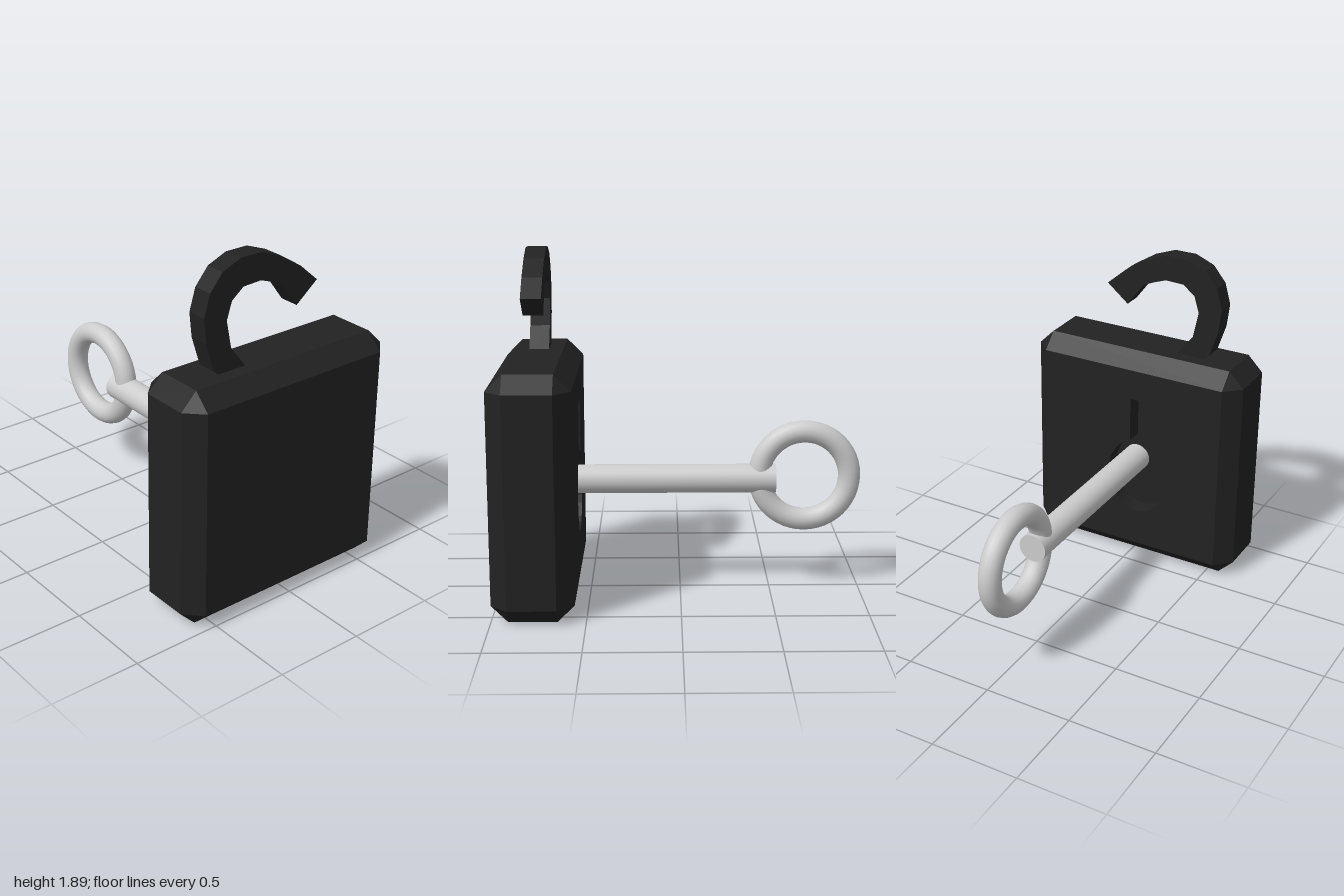
import * as THREE from 'three';
import { ConvexGeometry } from 'three/addons/geometries/ConvexGeometry.js';

const black = new THREE.MeshStandardMaterial({ color: 0x222222 });
black.name = 'blackBody';
const steel = new THREE.MeshStandardMaterial({ color: 0xcccccc });
steel.name = 'paleSteel';

const FACE = 0.56, DEPTH = 0.1, MID_Y = 0.66;

function add(parent, name, geometry, material, x = 0, y = 0, z = 0) {
  const mesh = new THREE.Mesh(geometry, material);
  mesh.name = name;
  mesh.position.set(x, y, z);
  parent.add(mesh);
  return mesh;
}

// Shapes are drawn as (z, y); this turns them to face -x
const sideways = (geometry) => geometry.rotateY(-Math.PI / 2);
const toPoints = (list) => list.map(([z, y]) => new THREE.Vector2(z, y));

// Box with every edge chamfered, left open on its -x face
function chamferedShell(hx, hy, hz, c) {
  const points = [];
  for (const sx of [-1, 1]) for (const sy of [-1, 1]) for (const sz of [-1, 1]) {
    points.push(
      new THREE.Vector3(sx * hx, sy * (hy - c), sz * (hz - c)),
      new THREE.Vector3(sx * (hx - c), sy * hy, sz * (hz - c)),
      new THREE.Vector3(sx * (hx - c), sy * (hy - c), sz * hz));
  }
  const pos = new ConvexGeometry(points).getAttribute('position');
  const kept = [];
  for (let i = 0; i < pos.count; i += 3) {
    const onFace = [0, 1, 2].every((k) => pos.getX(i + k) < -hx + 0.001);
    if (onFace) continue;
    for (let k = 0; k < 3; k++) kept.push(pos.getX(i + k), pos.getY(i + k), pos.getZ(i + k));
  }
  const geometry = new THREE.BufferGeometry();
  geometry.setAttribute('position', new THREE.Float32BufferAttribute(kept, 3));
  geometry.computeVertexNormals();
  return geometry;
}

// Keyhole outline: round opening with a slot above
function keyholePoints() {
  const cz = 0.05, cy = 0.55, rz = 0.19, ry = 0.235, slot = [0, 0.15], top = 1.05;
  const from = Math.acos((slot[1] - cz) / rz);
  const to = Math.acos((slot[0] - cz) / rz) - Math.PI * 2;
  const points = [[slot[0], top], [slot[1], top]];
  for (let i = 0; i <= 28; i++) {
    const a = from + (to - from) * i / 28;
    points.push([cz + rz * Math.cos(a), cy + ry * Math.sin(a)]);
  }
  return toPoints(points);
}

export function createModel() {
  const model = new THREE.Group();
  model.name = 'padlockWithKey';

  // Padlock body
  const lock = new THREE.Group();
  lock.name = 'padlock';
  model.add(lock);
  add(lock, 'lockBody', chamferedShell(0.22, 0.66, 0.66, 0.09), black, 0.78, MID_Y, 0);

  // Key-side face with the keyhole cut through, and the floor of the recess
  const h = 0.57;
  const face = new THREE.Shape(toPoints([
    [-h, MID_Y - h], [h, MID_Y - h], [h, MID_Y + h], [-h, MID_Y + h]]));
  face.holes.push(new THREE.Path(keyholePoints()));
  add(lock, 'keyholeFace',
    sideways(new THREE.ExtrudeGeometry(face, { depth: DEPTH, bevelEnabled: false })),
    black, FACE + DEPTH);
  add(lock, 'keyholeFloor',
    sideways(new THREE.ShapeGeometry(new THREE.Shape(keyholePoints()))), black, FACE + DEPTH);

  // Open shackle: faceted hook of square section
  const outer = [[0.36, 1.31], [0.405, 1.345], [0.455, 1.5], [0.47, 1.635], [0.435, 1.755],
    [0.36, 1.845], [0.25, 1.89], [0.12, 1.89], [0, 1.845], [-0.135, 1.76], [-0.25, 1.66]];
  const inner = [[-0.12, 1.555], [-0.02, 1.69], [0.05, 1.72], [0.12, 1.745], [0.23, 1.74],
    [0.3, 1.685], [0.33, 1.59], [0.3, 1.44], [0.2, 1.31]];
  const hook = new THREE.Shape(toPoints([...outer, ...inner]));
  add(lock, 'shackle',
    sideways(new THREE.ExtrudeGeometry(hook, { depth: 0.11, bevelEnabled: false })), black, 0.84);

  // Key: round shaft reaching into the keyhole, and a ring handle
  const key = new THREE.Group();
  key.name = 'key';
  model.add(key);
  const start = -0.53, end = FACE + DEPTH + 0.02;
  add(key, 'keyShaft',
    new THREE.CylinderGeometry(0.08, 0.08, end - start, 32).rotateZ(Math.PI / 2),
    steel, (start + end) / 2, 0.625, 0);
  add(key, 'keyRing', new THREE.TorusGeometry(0.25, 0.062, 16, 48), steel, -0.69, 0.64, 0);

  return model;
}
